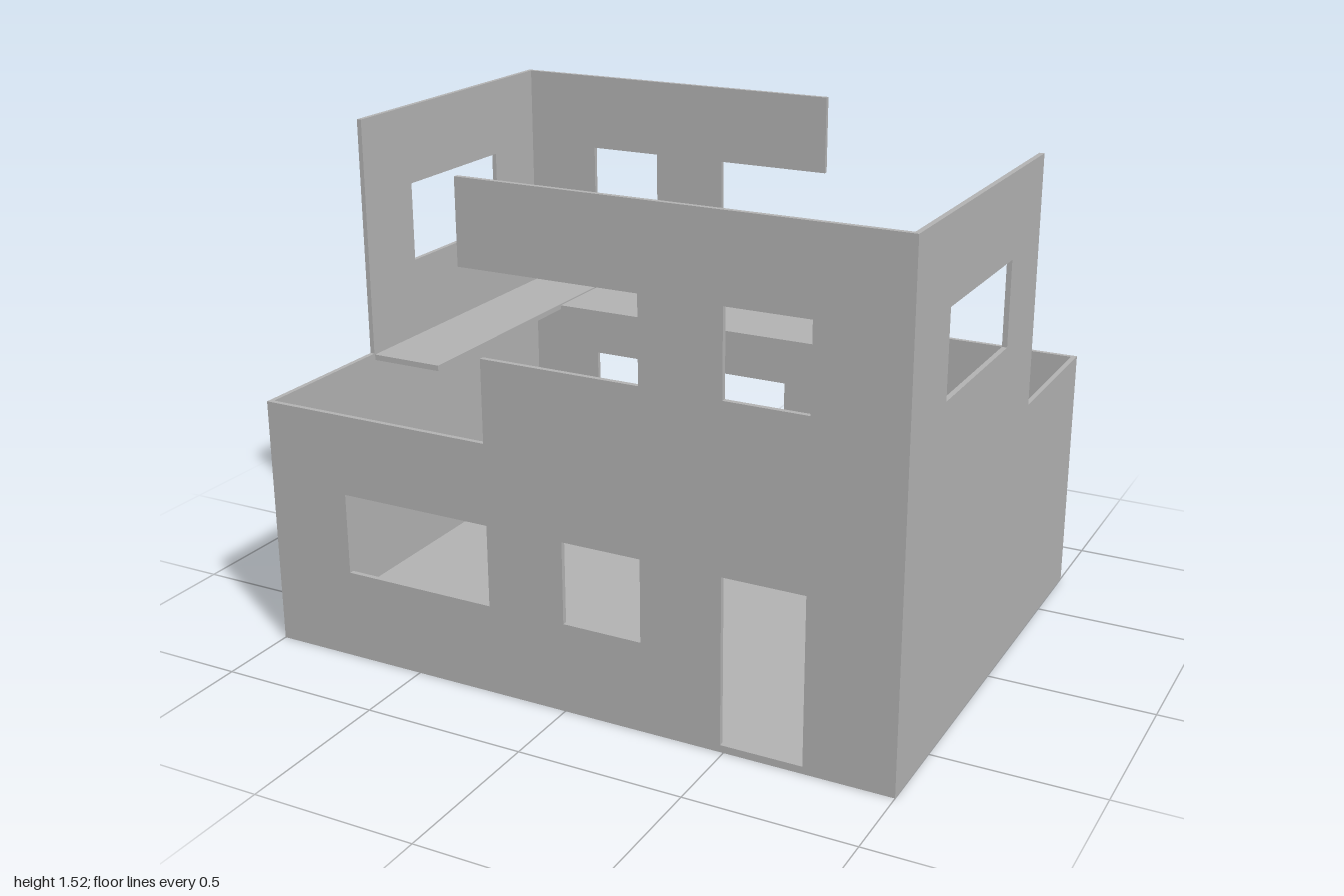
import * as THREE from 'three';

const T = 0.015;                 // wall thickness
const X = 1, Z = 0.75;           // half width and half depth
const MID = 0.772, TOP = 1.52;   // storey heights
const SILL = 1.02, HEAD = 1.272; // upper window band

export function createModel() {
  const model = new THREE.Group();
  model.name = 'house';
  const plaster = new THREE.MeshStandardMaterial({ color: 0xb2b2b2 });
  plaster.name = 'grey plaster';

  // Wall panel: an outline with rectangular openings [x0, y0, x1, y1]
  function wall(name, outline, openings) {
    const shape = new THREE.Shape(outline.map(([x, y]) => new THREE.Vector2(x, y)));
    for (const [x0, y0, x1, y1] of openings) {
      shape.holes.push(new THREE.Path([[x0, y0], [x0, y1], [x1, y1], [x1, y0]]
        .map(([x, y]) => new THREE.Vector2(x, y))));
    }
    const geometry = new THREE.ExtrudeGeometry(shape, { depth: T, bevelEnabled: false });
    const mesh = new THREE.Mesh(geometry, plaster);
    mesh.name = name;
    return mesh;
  }

  function slab(name, x0, x1, y0, y1, z0, z1) {
    const mesh = new THREE.Mesh(new THREE.BoxGeometry(x1 - x0, y1 - y0, z1 - z0), plaster);
    mesh.position.set((x0 + x1) / 2, (y0 + y1) / 2, (z0 + z1) / 2);
    mesh.name = name;
    model.add(mesh);
  }

  // One long wall and one short wall; lintelEnd is where the top strip stops
  function wallPair(side, lintelEnd) {
    const pair = new THREE.Group();
    pair.name = side + 'WallPair';

    const long = wall(side + 'LongWall', [
      [-X, 0], [X, 0], [X, TOP], [lintelEnd, TOP], [lintelEnd, HEAD],
      [0.245, HEAD], [0.245, SILL], [-0.245, SILL], [-0.245, MID], [-X, MID],
    ], [
      [-0.735, 0.275, -0.245, 0.525], // wide window
      [0, 0.275, 0.245, 0.525],       // small window
      [0.49, 0.022, 0.735, 0.525],    // doorway
      [0.49, SILL, 0.735, HEAD],      // upper window
    ]);
    long.position.z = Z - T;

    const e = Z - T;
    const short = wall(side + 'ShortWall', [
      [-e, 0], [e, 0], [e, MID], [0.243, MID], [0.243, TOP], [-e, TOP],
    ], [[-0.495, SILL, 0, HEAD]]);
    short.rotation.y = Math.PI / 2;
    short.position.x = X - T;

    pair.add(long, short);
    model.add(pair);
    return pair;
  }

  // The back pair is the front pair turned half round
  wallPair('front', -0.305);
  wallPair('back', -0.13).rotation.y = Math.PI;

  // Ground floor and the two upper floor ledges
  slab('groundFloor', -X + T, X - T, 0, 0.015, -Z + T, Z - T);
  slab('leftLedge', -X + T, -0.745, 0.75, 0.768, -Z + T, 0.24);
  slab('backLedge', -0.737, 0.24, 0.75, 0.768, -Z + T, -0.49);

  return model;
}
